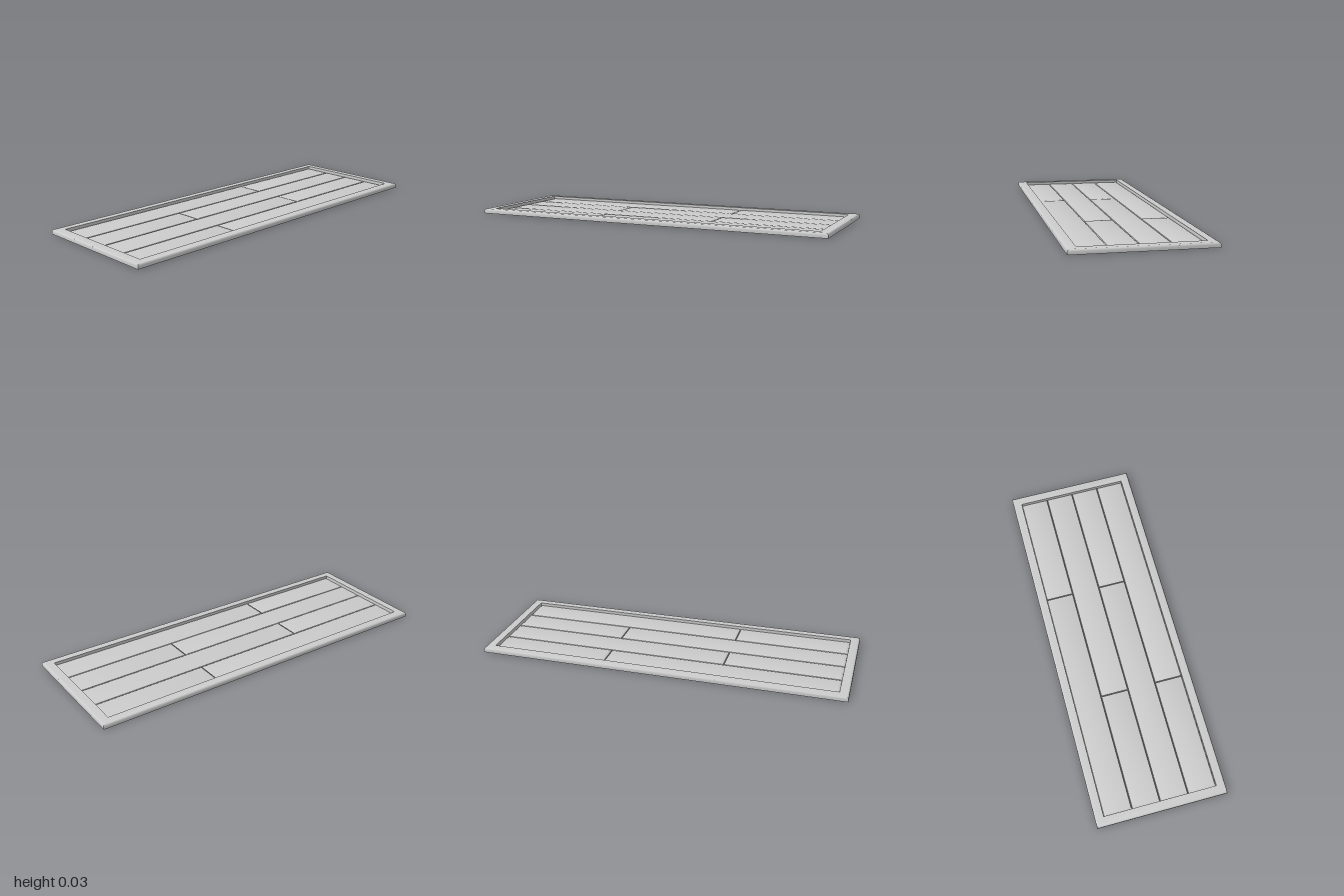
import * as THREE from 'three';
import { toCreasedNormals } from 'three/addons/utils/BufferGeometryUtils.js';

const HX = 0.355, HZ = 1;          // outer half size
const RIM_X = 0.048, RIM_Z = 0.05; // rim widths

// Joins rectangular rings [halfX, halfZ, y] into a skin, with optional end caps
function rectLoft(rings, caps) {
  const pos = [], idx = [];
  for (const [x, z, y] of rings) pos.push(x, y, z, x, y, -z, -x, y, -z, -x, y, z);
  for (let r = 0; r < rings.length - 1; r++) {
    for (let i = 0; i < 4; i++) {
      const a = r * 4 + i, b = r * 4 + (i + 1) % 4;
      idx.push(a, b, b + 4, a, b + 4, a + 4);
    }
  }
  if (caps) {
    const t = (rings.length - 1) * 4;
    idx.push(0, 2, 1, 0, 3, 2, t, t + 1, t + 2, t, t + 2, t + 3);
  }
  const g = new THREE.BufferGeometry();
  g.setAttribute('position', new THREE.Float32BufferAttribute(pos, 3));
  g.setIndex(idx);
  return toCreasedNormals(g, 0.6);
}

export function createModel() {
  const model = new THREE.Group();
  model.name = 'plankTray';
  const grey = new THREE.MeshStandardMaterial({ color: 0xcccccc });
  const shell = new THREE.MeshStandardMaterial({ color: 0xcccccc, side: THREE.DoubleSide });
  const add = (name, geometry, material, x = 0, y = 0, z = 0) => {
    const mesh = new THREE.Mesh(geometry, material);
    mesh.name = name;
    mesh.position.set(x, y, z);
    model.add(mesh);
    return mesh;
  };

  // Rim: hollow channel with a rounded outer edge, as [share of the rim width, y]
  const profile = [[0, 0], [0, 0.015], [0.04, 0.0195], [0.1, 0.023], [0.2, 0.025], [1, 0.025], [1, 0.002]];
  add('rim', rectLoft(profile.map(([s, y]) => [HX - s * RIM_X, HZ - s * RIM_Z, y])), shell);

  // Planks: four columns, each split in two, with the joints staggered
  const inX = HX - RIM_X, inZ = HZ - RIM_Z, pitch = inX / 2;
  const plank = (x, z0, z1) => {
    const hx = pitch / 2, hz = (z1 - z0) / 2;
    add('plank', rectLoft([
      [hx - 0.008, hz - 0.014, 0.001],
      [hx - 0.001, hz - 0.002, 0.004],
      [hx - 0.001, hz - 0.002, 0.006],
      [hx - 0.003, hz - 0.006, 0.009],
      [hx - 0.008, hz - 0.014, 0.011],
    ], true), grey, x, 0, (z0 + z1) / 2);
  };
  for (let c = 0; c < 4; c++) {
    const x = (c - 1.5) * pitch;
    const joint = c % 2 ? 0.317 : -0.317;
    plank(x, -inZ, joint);
    plank(x, joint, inZ);
  }

  // Small ribs inside the hollow rim, in line with the plank edges
  const sideRib = new THREE.BoxGeometry(RIM_X - 0.004, 0.016, 0.006);
  const endRib = new THREE.BoxGeometry(0.006, 0.016, RIM_Z - 0.004);
  for (const s of [-1, 1]) {
    for (const z of [-0.317, 0.317]) add('sideRib', sideRib, grey, s * (HX - RIM_X / 2), 0.012, z);
    for (const k of [-1, 0, 1]) add('endRib', endRib, grey, k * pitch, 0.012, s * (HZ - RIM_Z / 2));
  }
  return model;
}
